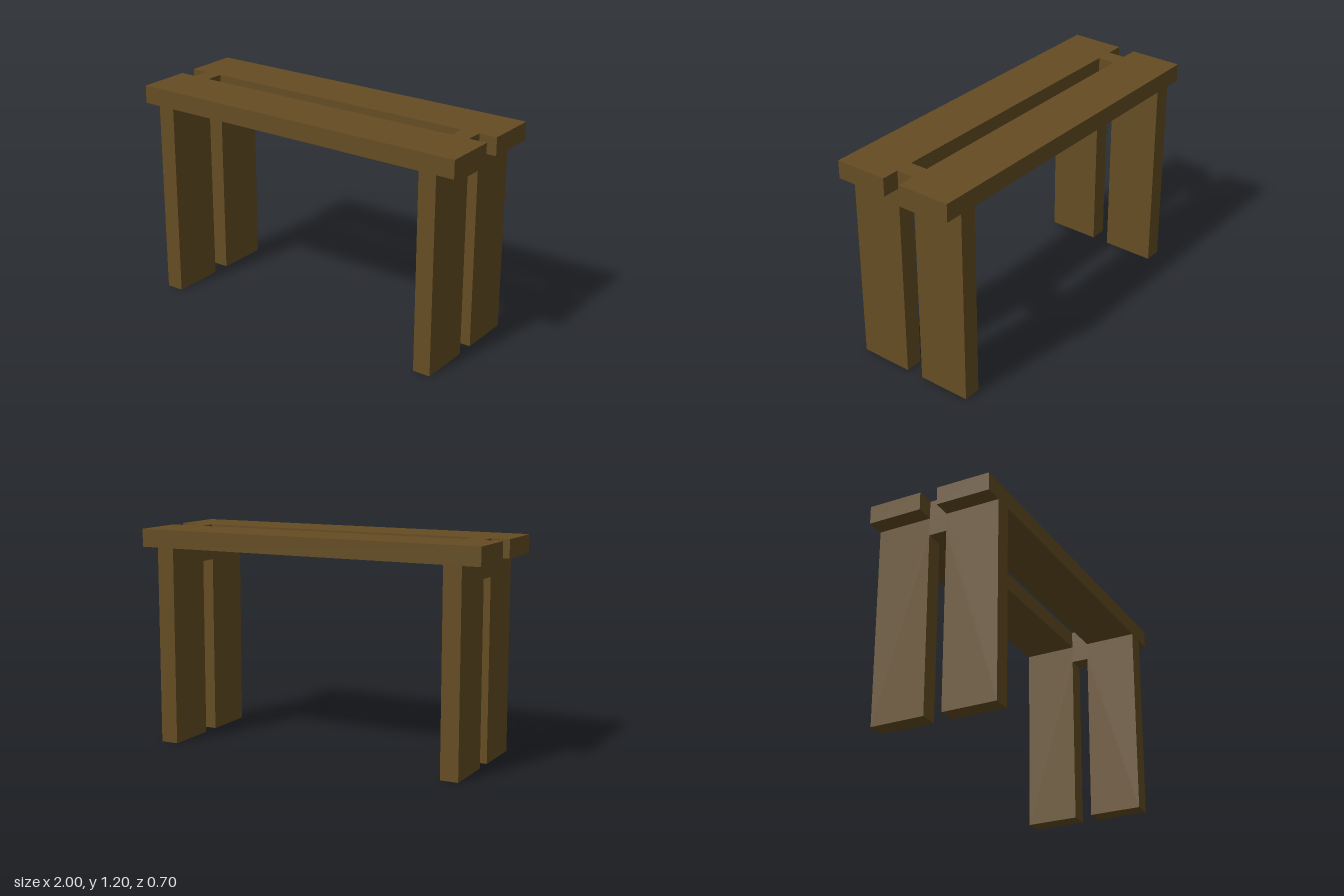
import * as THREE from 'three';

const HALF_GAP = 0.05, HALF_DEPTH = 0.35, THICK = 0.1, SEAT_BOTTOM = 1.1, SEAT_TOP = 1.2;

// Slotted leg panel with a tenon that rises between the two planks
function legGeometry() {
  const half = [
    [HALF_GAP, SEAT_TOP], [HALF_GAP, SEAT_BOTTOM], [HALF_DEPTH, SEAT_BOTTOM],
    [HALF_DEPTH, 0], [HALF_GAP, 0], [HALF_GAP, 1.0],
  ];
  const mirrored = half.map(([z, y]) => [-z, y]).reverse();
  const shape = new THREE.Shape([...half, ...mirrored].map(([z, y]) => new THREE.Vector2(z, y)));
  const geometry = new THREE.ExtrudeGeometry(shape, { depth: THICK, bevelEnabled: false });
  return geometry.translate(0, 0, -THICK / 2).rotateY(Math.PI / 2);
}

export function createModel() {
  const bench = new THREE.Group();
  bench.name = 'bench';
  const wood = new THREE.MeshStandardMaterial({ color: 0x654d22 });
  wood.name = 'brown wood';

  const add = (name, geometry, x, y, z) => {
    const mesh = new THREE.Mesh(geometry, wood);
    mesh.name = name;
    mesh.position.set(x, y, z);
    bench.add(mesh);
  };

  // Two seat planks with a gap between them
  const plank = new THREE.BoxGeometry(2, THICK, HALF_DEPTH - HALF_GAP);
  const plankZ = (HALF_GAP + HALF_DEPTH) / 2;
  add('frontSeatPlank', plank, 0, SEAT_TOP - THICK / 2, plankZ);
  add('backSeatPlank', plank, 0, SEAT_TOP - THICK / 2, -plankZ);

  // Leg panels at both ends
  const leg = legGeometry();
  add('leftLeg', leg, 0.85, 0, 0);
  add('rightLeg', leg, -0.85, 0, 0);

  return bench;
}
